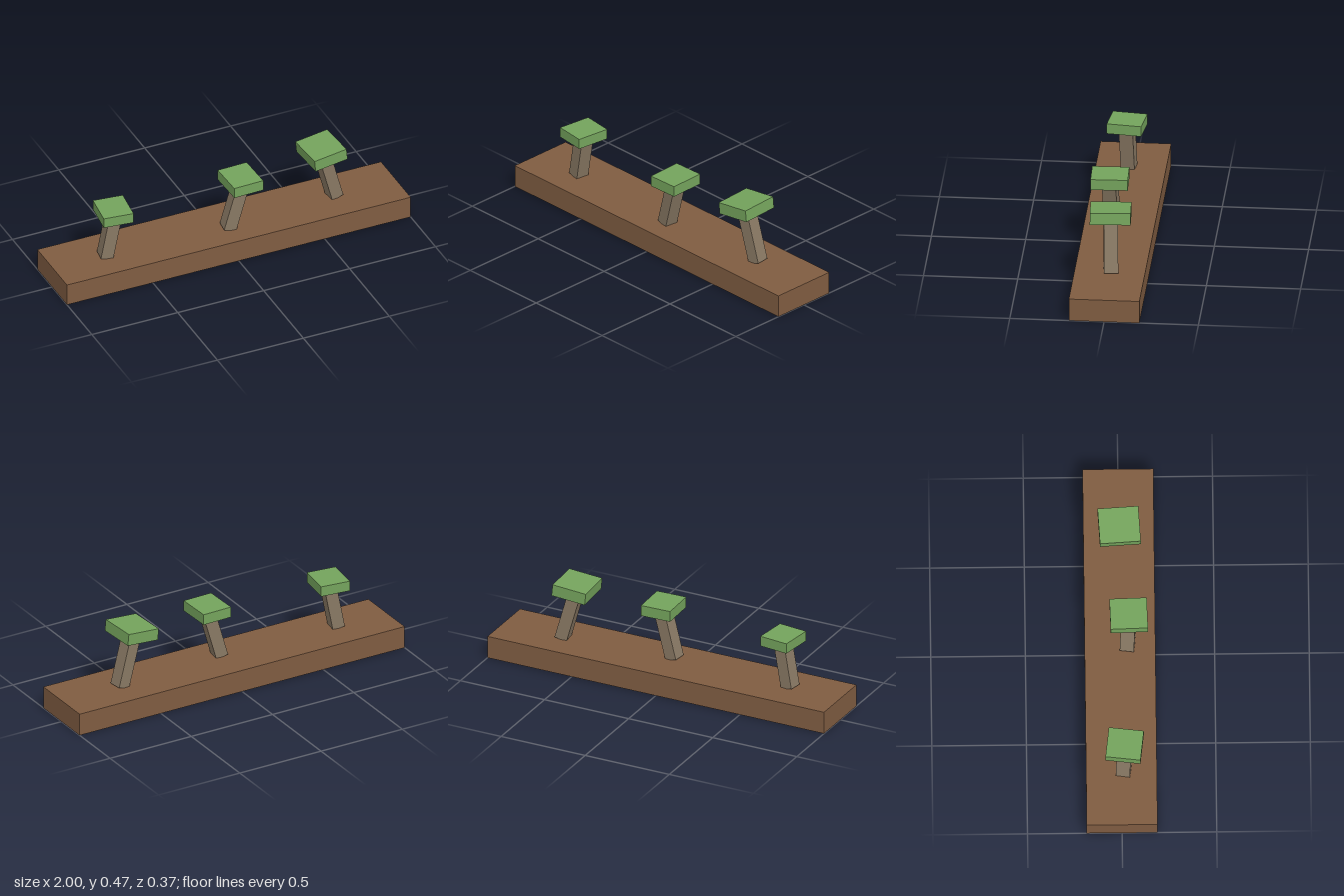
import * as THREE from 'three';

// Box standing on its origin, with no underside
function openBox(w, h, d) {
  const g = new THREE.BoxGeometry(w, h, d).translate(0, h / 2, 0);
  const index = Array.from(g.index.array);
  index.splice(18, 6); // drop the -y face
  g.setIndex(index);
  g.clearGroups();
  return g;
}

function flatMaterial(name, color) {
  const m = new THREE.MeshStandardMaterial({ color, side: THREE.DoubleSide });
  m.name = name;
  return m;
}

export function createModel() {
  const soil = flatMaterial('soil brown', 0x7f5c41);
  const bark = flatMaterial('bark grey brown', 0x887863);
  const leaf = flatMaterial('leaf green', 0x74a35c);
  const rad = THREE.MathUtils.degToRad;
  const model = new THREE.Group();
  model.name = 'plankWithTrees';

  const add = (parent, name, geometry, material) => {
    const mesh = new THREE.Mesh(geometry, material);
    mesh.name = name;
    parent.add(mesh);
    return mesh;
  };

  // Long ground slab
  const top = 0.125;
  add(model, 'groundSlab', openBox(2, top, 0.374), soil);

  // Leaning trees: trunk foot, turn and lean in degrees, rise, and canopy size
  const trees = [
    { name: 'rightTree', x: -0.697, z: 0.011, turn: -8, lean: -10.7, rise: 0.239, cap: [0.166, 0.057, 0.186], capTurn: -6.8, capTilt: 0 },
    { name: 'middleTree', x: 0.005, z: 0.039, turn: -6.5, lean: -15.5, rise: 0.252, cap: [0.171, 0.06, 0.197], capTurn: 1.7, capTilt: 0 },
    { name: 'leftTree', x: 0.645, z: -0.007, turn: 6.5, lean: 15.5, rise: 0.274, cap: [0.192, 0.065, 0.216], capTurn: 3.4, capTilt: 5.7 },
  ];
  for (const t of trees) {
    const tree = new THREE.Group();
    tree.name = t.name;
    tree.position.set(t.x, top, t.z);
    model.add(tree);

    // Trunk leans along its own x axis after turning
    const length = t.rise / Math.cos(rad(t.lean));
    const trunk = add(tree, 'trunk', openBox(0.069, length, 0.075), bark);
    trunk.rotation.set(0, rad(t.turn), rad(t.lean), 'YXZ');

    // Canopy sits on the trunk's upper end
    const canopy = add(tree, 'canopy', openBox(...t.cap), leaf);
    canopy.position.set(0, length, 0).applyEuler(trunk.rotation);
    canopy.rotation.set(0, rad(t.capTurn), rad(t.capTilt), 'YXZ');
  }
  return model;
}
